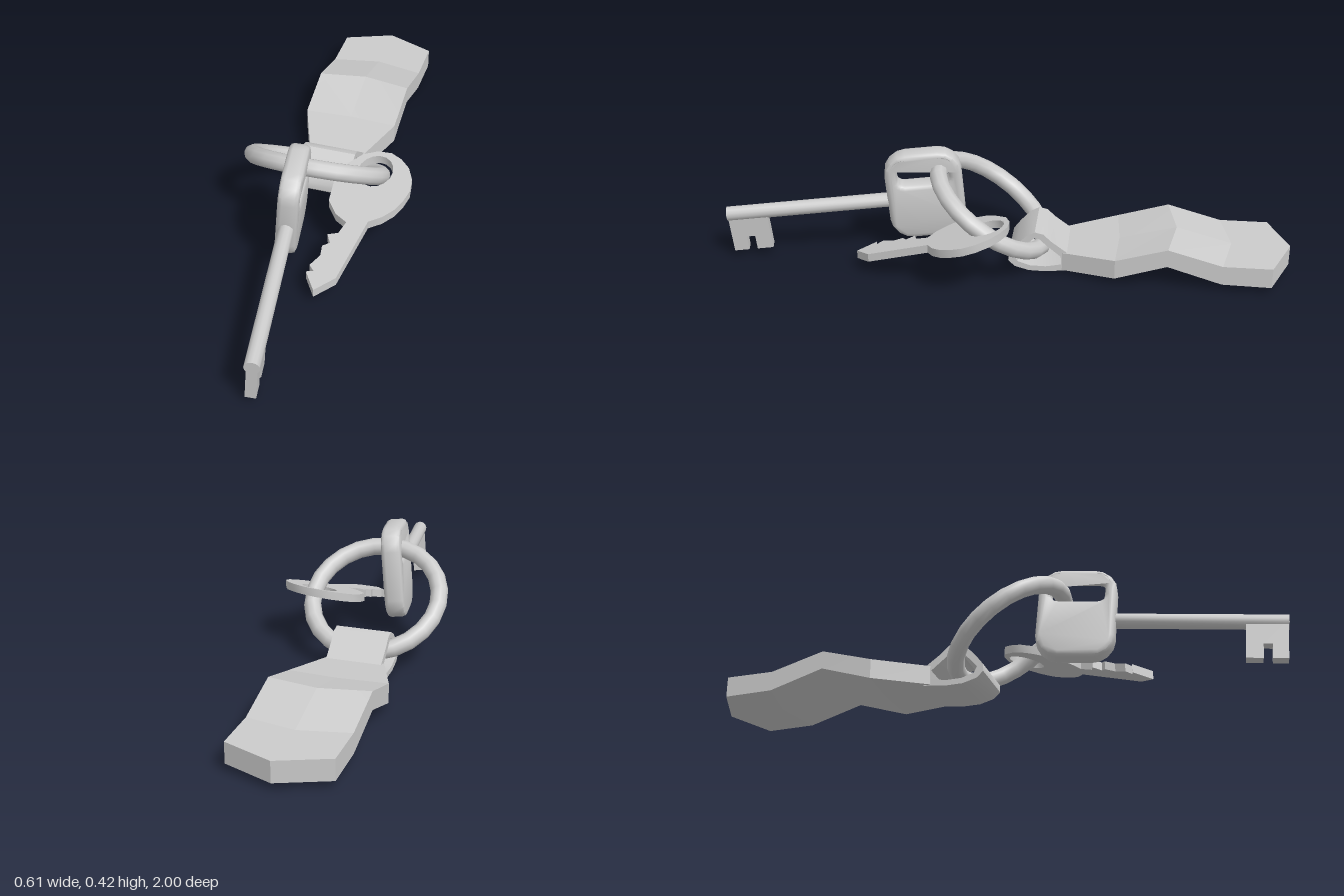
import * as THREE from 'three';
import { toCreasedNormals } from 'three/addons/utils/BufferGeometryUtils.js';

const material = new THREE.MeshStandardMaterial({ color: 0xcccccc });

function part(name, geometry, crease = 0.6) {
  const mesh = new THREE.Mesh(toCreasedNormals(geometry, crease), material);
  mesh.name = name;
  return mesh;
}

const outline = (pts, Kind = THREE.Shape) => new Kind(pts.map(([x, y]) => new THREE.Vector2(x, y)));

// Rounded rectangle as a list of points
function roundedRect(x0, y0, x1, y1, r, n = 4) {
  const pts = [];
  [[x1 - r, y1 - r], [x0 + r, y1 - r], [x0 + r, y0 + r], [x1 - r, y0 + r]].forEach(([cx, cy], q) => {
    for (let i = 0; i <= n; i++) {
      const a = (q + i / n) * Math.PI / 2;
      pts.push([cx + r * Math.cos(a), cy + r * Math.sin(a)]);
    }
  });
  return pts;
}

// Split ring, tilted with its front raised
function makeRing() {
  const ring = part('ring', new THREE.TorusGeometry(0.228, 0.031, 10, 24), 1);
  ring.rotation.x = THREE.MathUtils.degToRad(55);
  ring.position.set(-0.047, 0.213, 0.055);
  return ring;
}

// Bent fob: lofted through sections, each with a ridge point in the middle
function makeFob() {
  const cx = -0.057;
  // z, top, bottom, half width, z shift of the middle
  const stations = [
    [-0.2, 0.08, 0.012, 0.1, 0],
    [-0.39, 0.1, 0.03, 0.173, -0.01],
    [-0.57, 0.153, 0.088, 0.174, -0.03],
    [-0.76, 0.1, 0.03, 0.174, -0.035],
    [-0.93, 0.1, 0.027, 0.174, -0.07],
  ];
  const pos = [], index = [], n = 6;
  for (const [z, top, bottom, w, dz] of stations) {
    for (const [x, y] of [[-w, top], [0, top], [w, top], [w, bottom], [0, bottom], [-w, bottom]]) {
      pos.push(cx + x, y, x === 0 ? z + dz : z);
    }
  }
  for (let s = 0; s < stations.length - 1; s++) {
    for (let i = 0; i < n; i++) {
      const a = s * n + i, b = s * n + (i + 1) % n;
      index.push(a, b, a + n, b, b + n, a + n);
    }
  }
  // End caps, two quads each
  const e = (stations.length - 1) * n;
  for (const [a, b, c, d] of [[0, 1, 4, 5], [1, 2, 3, 4]]) {
    index.push(a, c, b, a, d, c);
    index.push(e + a, e + b, e + c, e + a, e + c, e + d);
  }
  const geo = new THREE.BufferGeometry();
  geo.setAttribute('position', new THREE.Float32BufferAttribute(pos, 3));
  geo.setIndex(index);
  return part('fob', geo, 0.05);
}

// Strap loop that holds the fob on the ring
function makeLoop() {
  const shape = outline([
    [0.225, 0.012], [0.225, 0.078], [0.165, 0.122], [0.135, 0.15], [0.105, 0.157], [0.075, 0.14],
    [0.04, 0.103], [0.013, 0.067], [0.012, 0.04], [0.035, 0.018], [0.085, 0.004], [0.145, 0.003],
  ]);
  shape.holes.push(outline([
    [0.2, 0.034], [0.198, 0.065], [0.15, 0.104], [0.12, 0.132], [0.103, 0.134],
    [0.06, 0.09], [0.034, 0.06], [0.045, 0.038], [0.09, 0.024], [0.145, 0.023],
  ], THREE.Path));
  const geo = new THREE.ExtrudeGeometry(shape, { depth: 0.196, bevelEnabled: false });
  geo.rotateY(Math.PI / 2).translate(-0.152, 0, 0);
  return part('strapLoop', geo, 0.7);
}

// Flat key: outline drawn as (x, z), then sheared onto its slope
function makeFlatKey() {
  const pts = [
    [0.03, 0.105], [0.035, 0.185], [0.075, 0.235], [0.12, 0.262], [0.105, 0.305], [0.07, 0.315],
    [0.088, 0.345], [0.065, 0.36], [0.07, 0.395], [0.045, 0.435], [0.065, 0.455], [0.04, 0.46],
    [0.085, 0.523], [0.147, 0.47], [0.193, 0.25], [0.235, 0.227], [0.268, 0.195], [0.29, 0.155],
    [0.302, 0.115], [0.297, 0.07], [0.275, 0.027], [0.24, -0.005], [0.2, -0.026],
    [0.15, -0.028], [0.1, -0.01], [0.06, 0.03], [0.038, 0.065],
  ];
  const shape = outline(pts.map(([x, z]) => [x, -z]));
  const hole = new THREE.Path();
  hole.absarc(0.162, -0.052, 0.062, 0, Math.PI * 2, true);
  shape.holes.push(hole);
  const geo = new THREE.ExtrudeGeometry(shape, { depth: 0.03, bevelEnabled: false, curveSegments: 8 });
  geo.rotateX(-Math.PI / 2);
  const p = geo.attributes.position;
  for (let i = 0; i < p.count; i++) {
    p.setY(i, p.getY(i) + 0.04 + 0.1 * (p.getX(i) - 0.085) - 0.32 * (p.getZ(i) - 0.52));
  }
  return part('flatKey', geo, 0.6);
}

// Barrel key: local x runs along the shaft, local y is up
function makeBarrelKey() {
  const key = new THREE.Group();
  key.name = 'barrelKey';

  // Bow with an opening near its top
  const b = 0.016;
  const shape = outline(roundedRect(-0.272 + b, -0.152 + b, -b, 0.188 - b, 0.065));
  shape.holes.push(outline(roundedRect(-0.24 + b - 0.02, 0.048, -0.03 - b + 0.02, 0.172, 0.04).reverse(), THREE.Path));
  const bow = new THREE.ExtrudeGeometry(shape, {
    depth: 0.04, bevelThickness: b, bevelSize: b, bevelSegments: 2,
  });
  bow.translate(0, 0, -0.02);
  key.add(part('keyBow', bow, 0.8));

  // Shaft
  const shaft = new THREE.CylinderGeometry(0.026, 0.026, 0.6, 12);
  shaft.rotateZ(-Math.PI / 2).translate(0.277, 0, 0);
  key.add(part('keyShaft', shaft, 0.8));

  // Bit with a notch between two teeth
  const bit = new THREE.ExtrudeGeometry(outline([
    [0.435, 0], [0.435, -0.147], [0.492, -0.147], [0.492, -0.092], [0.522, -0.092],
    [0.522, -0.147], [0.574, -0.147], [0.574, 0],
  ]), { depth: 0.036, bevelEnabled: false });
  bit.translate(0, 0, -0.018);
  key.add(part('keyBit', bit));

  const along = new THREE.Vector3(0.087, -0.047, 0.58).normalize();
  const side = along.clone().cross(new THREE.Vector3(0.09, 1, 0)).normalize();
  const up = side.clone().cross(along);
  key.quaternion.setFromRotationMatrix(new THREE.Matrix4().makeBasis(along, up, side));
  key.position.set(-0.038, 0.216, 0.428);
  return key;
}

export function createModel() {
  const model = new THREE.Group();
  model.name = 'keyring';
  model.add(makeRing(), makeFob(), makeLoop(), makeFlatKey(), makeBarrelKey());
  return model;
}
